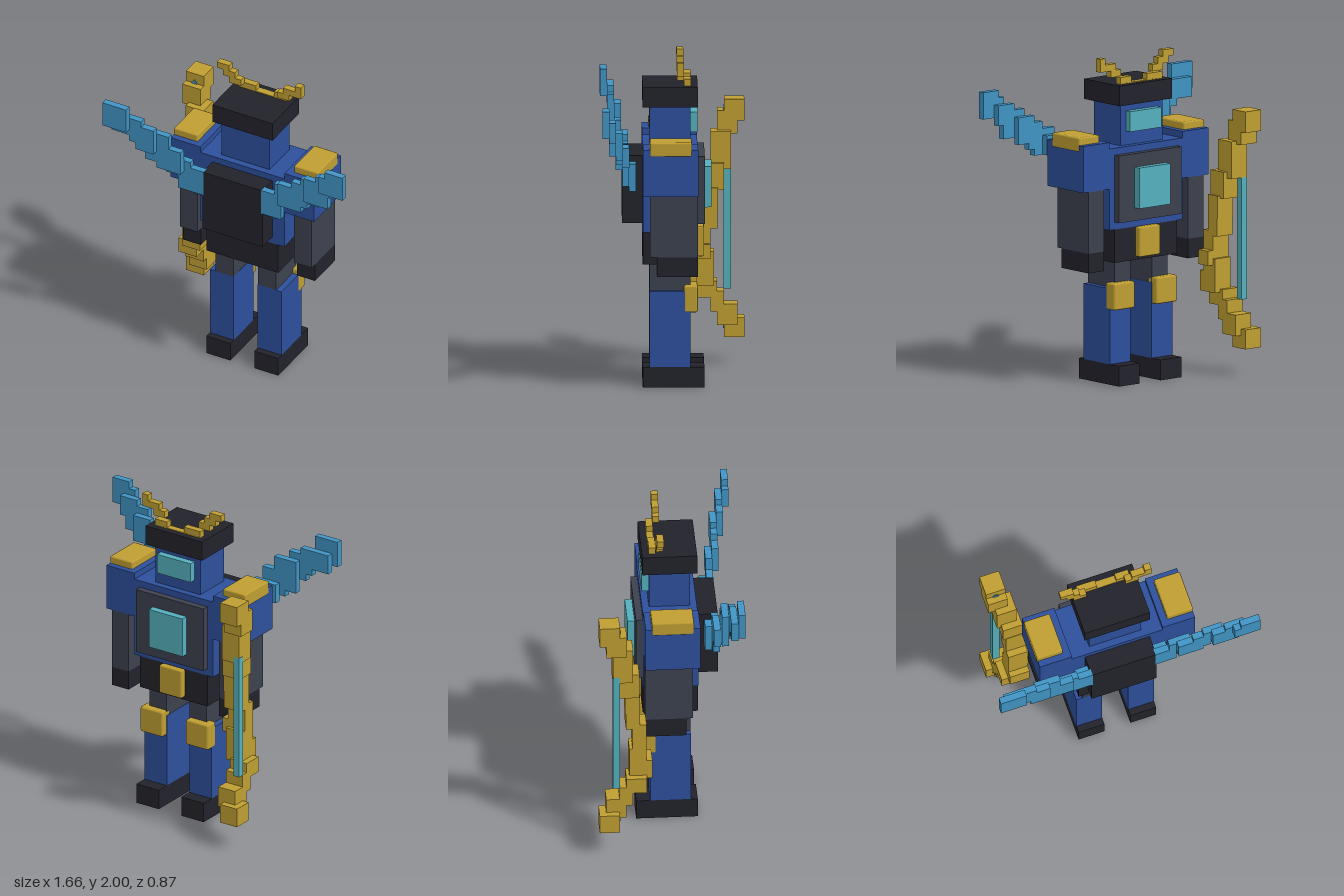
import * as THREE from 'three';
import { RoundedBoxGeometry } from 'three/addons/geometries/RoundedBoxGeometry.js';

const paint = (name, color) => {
  const m = new THREE.MeshStandardMaterial({ color });
  m.name = name;
  return m;
};

export function createModel() {
  const black = paint('black armour', 0x22222b);
  const grey = paint('grey cloth', 0x3c414e);
  const blue = paint('blue armour', 0x2d4f9c);
  const gold = paint('gold trim', 0xbf9e32);
  const sky = paint('sky blue wing', 0x4094c4);
  const teal = paint('teal glow', 0x54b0bd);

  const root = new THREE.Group();
  root.name = 'blockWarrior';

  // Box given by its limits on each axis; a bevel rounds the edges
  const box = (name, mat, x0, x1, y0, y1, z0, z1, parent = root, bevel = 0) => {
    const w = x1 - x0, h = y1 - y0, d = z1 - z0;
    const geo = bevel ? new RoundedBoxGeometry(w, h, d, 1, bevel) : new THREE.BoxGeometry(w, h, d);
    const mesh = new THREE.Mesh(geo, mat);
    mesh.name = name;
    mesh.position.set((x0 + x1) / 2, (y0 + y1) / 2, (z0 + z1) / 2);
    parent.add(mesh);
    return mesh;
  };
  // The same box on both sides of the body
  const pair = (name, mat, x0, x1, y0, y1, z0, z1, bevel = 0) => {
    box('left' + name, mat, x0, x1, y0, y1, z0, z1, root, bevel);
    box('right' + name, mat, -x1, -x0, y0, y1, z0, z1, root, bevel);
  };
  const group = (name) => {
    const g = new THREE.Group();
    g.name = name;
    root.add(g);
    return g;
  };

  // Legs
  pair('Foot', black, 0.083, 0.248, 0, 0.125, -0.185, 0.188);
  pair('Shin', blue, 0.083, 0.248, 0.125, 0.59, -0.1, 0.146);
  pair('Thigh', grey, 0.085, 0.21, 0.59, 0.76, -0.1, 0.146);
  pair('KneePad', gold, 0.085, 0.25, 0.46, 0.625, -0.145, -0.06, 0.012);

  // Trunk
  box('pelvis', black, -0.248, 0.248, 0.755, 0.96, -0.145, 0.188);
  box('buckle', gold, -0.083, 0.083, 0.775, 0.96, -0.185, -0.14, root, 0.01);
  box('torso', blue, -0.29, 0.29, 0.96, 1.46, -0.145, 0.188);
  box('chestPlate', grey, -0.248, 0.248, 1.005, 1.418, -0.187, -0.145);
  box('chestPanel', teal, -0.124, 0.124, 1.085, 1.335, -0.23, -0.187);
  box('backpack', black, -0.207, 0.207, 1.005, 1.418, 0.188, 0.312);

  // Arms
  pair('Shoulder', blue, 0.29, 0.496, 1.213, 1.5, -0.145, 0.188);
  pair('ShoulderPad', gold, 0.333, 0.499, 1.46, 1.546, -0.107, 0.148, 0.01);
  pair('Arm', grey, 0.333, 0.456, 0.835, 1.213, -0.145, 0.146);
  pair('Hand', black, 0.333, 0.456, 0.715, 0.835, -0.145, 0.105);

  // Head and helmet
  box('head', blue, -0.166, 0.166, 1.46, 1.715, -0.103, 0.146);
  box('visor', teal, -0.124, 0.124, 1.546, 1.67, -0.145, -0.103);
  box('helmet', black, -0.208, 0.208, 1.713, 1.837, -0.145, 0.188);

  // Crest: a band sunk in the helmet and two stepped horns
  const crest = group('crest');
  box('crestBand', gold, -0.16, 0.12, 1.8, 1.842, -0.105, -0.062, crest);
  [[0.08, 0.166, 1.837, 1.88, 0], [0.125, 0.207, 1.877, 1.92, 1],
    [0.166, 0.29, 1.918, 1.96, 1], [0.248, 0.29, 1.958, 2, 1],
    [-0.166, -0.045, 1.837, 1.88, 0], [-0.207, -0.125, 1.877, 1.92, 1],
    [-0.25, -0.166, 1.918, 1.96, 1], [-0.29, -0.207, 1.958, 2, 1],
  ].forEach(([x0, x1, y0, y1, layer]) => {
    const z = -0.104 + layer * 0.042;
    box('hornStep', gold, x0, x1, y0, y1, z, z + 0.042, crest);
  });

  // Wings: feather blocks on five layers stepping outwards
  const wing = (name, side, feathers) => {
    const g = group(name);
    feathers.forEach(([x0, x1, y0, y1, layer]) => {
      const z = 0.23 + layer * 0.0415;
      const [a, b] = side > 0 ? [x0, x1] : [-x1, -x0];
      box('feather', sky, a, b, y0, y1, z, z + 0.0415, g);
    });
  };
  wing('leftWing', 1, [
    [0.2, 0.29, 1.213, 1.38, 0], [0.2, 0.335, 1.25, 1.42, 1], [0.29, 0.43, 1.38, 1.5, 1],
    [0.335, 0.495, 1.38, 1.54, 2], [0.43, 0.54, 1.42, 1.585, 2], [0.495, 0.62, 1.46, 1.627, 2],
    [0.54, 0.705, 1.5, 1.67, 3], [0.62, 0.745, 1.585, 1.71, 3],
    [0.665, 0.75, 1.63, 1.75, 4], [0.707, 0.83, 1.63, 1.795, 4],
  ]);
  wing('rightWing', -1, [
    [0.2, 0.29, 1.213, 1.38, 0], [0.2, 0.375, 1.25, 1.42, 1], [0.29, 0.46, 1.34, 1.46, 1],
    [0.335, 0.5, 1.38, 1.54, 2], [0.42, 0.58, 1.42, 1.627, 2],
    [0.5, 0.625, 1.5, 1.67, 3], [0.585, 0.67, 1.546, 1.71, 3], [0.62, 0.79, 1.588, 1.71, 3],
    [0.665, 0.83, 1.63, 1.795, 4],
  ]);

  // Bow: stacked blocks curving back at both tips
  const bow = group('bow');
  [[1.5, 1.63, -0.435, -0.312, -0.668], [1.42, 1.56, -0.393, -0.27, -0.668],
    [1.21, 1.44, -0.353, -0.23, -0.625], [1.085, 1.25, -0.312, -0.19, -0.6],
    [0.96, 1.1, -0.275, -0.187, -0.583], [0.85, 0.98, -0.27, -0.187, -0.583],
    [0.71, 0.88, -0.23, -0.145, -0.583], [0.67, 0.76, -0.23, -0.145, -0.543],
    [0.585, 0.71, -0.25, -0.145, -0.583], [0.5, 0.625, -0.25, -0.11, -0.583],
    [0.42, 0.52, -0.27, -0.145, -0.625], [0.335, 0.46, -0.312, -0.23, -0.625],
    [0.25, 0.38, -0.393, -0.27, -0.625], [0.17, 0.29, -0.435, -0.312, -0.668],
  ].forEach(([y0, y1, z0, z1, x]) => box('bowBlock', gold, x, x + 0.124, y0, y1, z0, z1, bow));
  box('bowString', teal, -0.627, -0.584, 0.46, 1.25, -0.353, -0.31, bow);

  // Small diamond studs on the bow tips
  [0.235, 1.565].forEach((y) => {
    const stud = box('bowStud', sky, -0.622, -0.592, y - 0.015, y + 0.015, -0.314, -0.306, bow);
    stud.rotation.z = Math.PI / 4;
  });

  return root;
}
